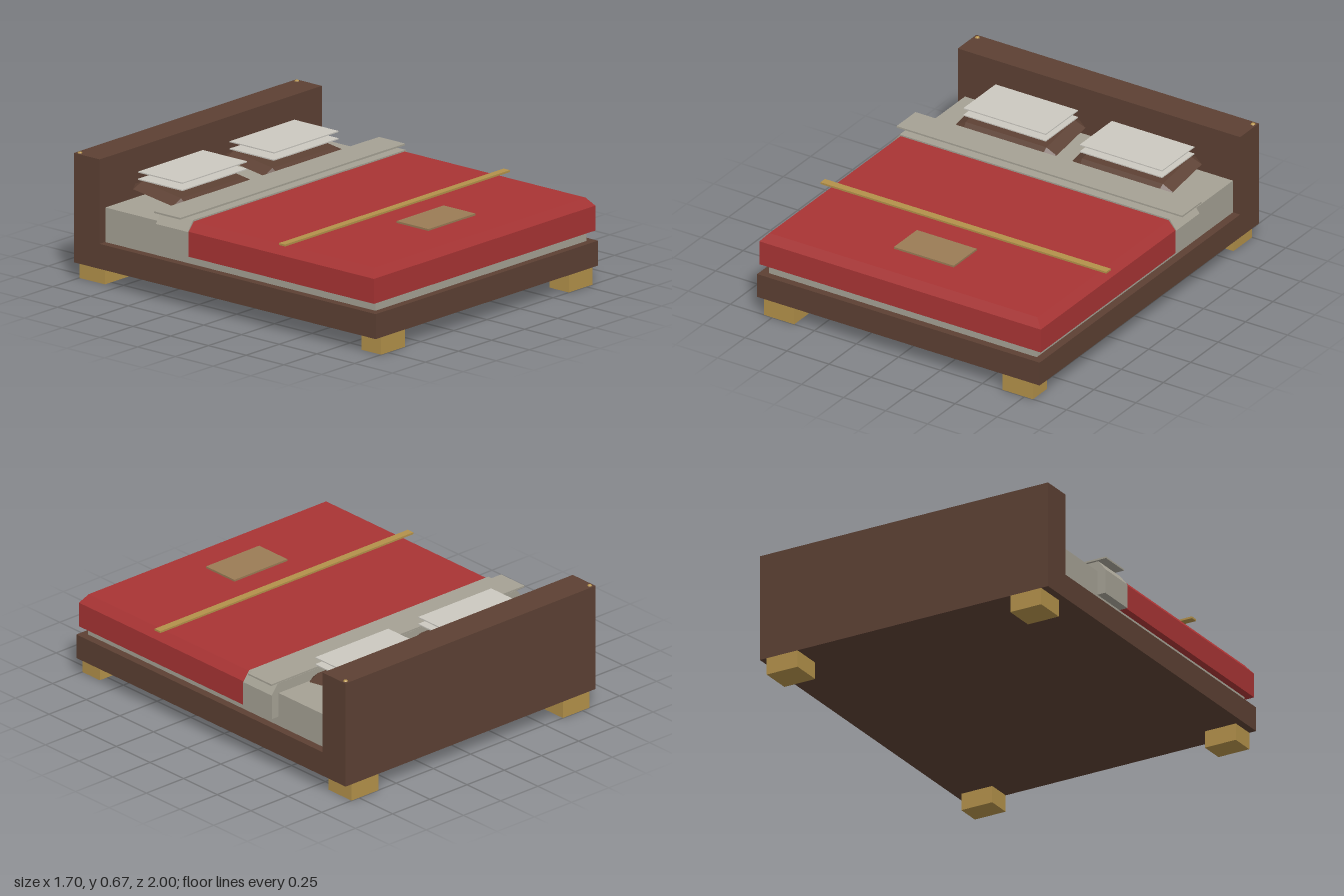
import * as THREE from 'three';
import { ConvexGeometry } from 'three/addons/geometries/ConvexGeometry.js';

const mat = (color) => new THREE.MeshStandardMaterial({ color, flatShading: true });
const wood = mat(0x5c4033);
const gold = mat(0xb3914a);
const linen = mat(0xa5a194);
const red = mat(0xa83434);
const tan = mat(0x9a7b55);
const white = mat(0xcbc8c0);

export function createModel() {
  const model = new THREE.Group();

  const add = (name, geometry, material, parent = model) => {
    const mesh = new THREE.Mesh(geometry, material);
    mesh.name = name;
    parent.add(mesh);
    return mesh;
  };

  // Box given by its extents on each axis
  const box = (name, [x0, x1], [y0, y1], [z0, z1], material, parent) => {
    const mesh = add(name, new THREE.BoxGeometry(x1 - x0, y1 - y0, z1 - z0), material, parent);
    mesh.position.set((x0 + x1) / 2, (y0 + y1) / 2, (z0 + z1) / 2);
    return mesh;
  };

  // Cover draped over the mattress, with chamfered top edges
  const cover = (name, halfWidth, top, back, front, frontInset, material) => {
    const points = [];
    for (const s of [-1, 1]) {
      for (const [w, y, inset] of [
        [halfWidth, 0.27, 0],
        [halfWidth, 0.4, 0],
        [halfWidth - 0.04, top, frontInset],
      ]) {
        points.push(new THREE.Vector3(s * w, y, back), new THREE.Vector3(s * w, y, front - inset));
      }
    }
    return add(name, new ConvexGeometry(points), material);
  };

  // Frame and headboard
  box('bedFrame', [-0.84, 0.84], [0.09, 0.22], [-0.83, 1], wood);
  box('headboard', [-0.84, 0.84], [0.09, 0.66], [-1, -0.83], wood);

  // Legs and headboard studs
  for (const s of [-1, 1]) {
    const xs = s < 0 ? [-0.8, -0.62] : [0.62, 0.8];
    box('frontLeg', xs, [0, 0.09], [0.87, 1], gold);
    box('backLeg', xs, [0, 0.09], [-1, -0.83], gold);
    add('headboardStud', new THREE.SphereGeometry(0.014, 10, 8), gold)
      .position.set(s * 0.82, 0.654, -0.978);
  }

  // Mattress and bedding
  box('mattress', [-0.797, 0.797], [0.22, 0.4], [-0.83, 0.96], linen);
  cover('blanket', 0.837, 0.445, -0.245, 0.985, 0.03, red);
  cover('foldedSheet', 0.843, 0.453, -0.455, -0.243, 0, linen);
  box('sheetCuff', [-0.85, 0.85], [0.457, 0.466], [-0.46, -0.287], linen);
  box('blanketStripe', [-0.85, 0.85], [0.456, 0.466], [0.366, 0.407], gold);
  box('blanketPatch', [-0.178, 0.178], [0.456, 0.466], [0.558, 0.768], tan);

  // Tilted pillows with bevelled rims, each with two flat covers above
  for (const s of [-1, 1]) {
    const pillow = new THREE.Group();
    pillow.name = 'pillow';
    pillow.position.x = s * 0.346;
    model.add(pillow);

    const points = [];
    for (const x of [-1, 1]) {
      for (const z of [-1, 1]) {
        for (const [px, py, pz] of [
          [0.24, 0.03, 0.13], [0.24, -0.03, 0.13],
          [0.299, 0, 0.133], [0.235, 0, 0.176],
        ]) points.push(new THREE.Vector3(x * px, py, z * pz));
      }
    }
    const body = add('pillowBody', new ConvexGeometry(points), wood, pillow);
    body.position.set(0, 0.452, -0.647);
    body.rotation.x = 0.14;

    for (const y of [0.507, 0.545]) {
      box('pillowCover', [-0.245, 0.245], [y - 0.003, y + 0.003], [-0.793, -0.5], white, pillow);
    }
  }

  return model;
}
